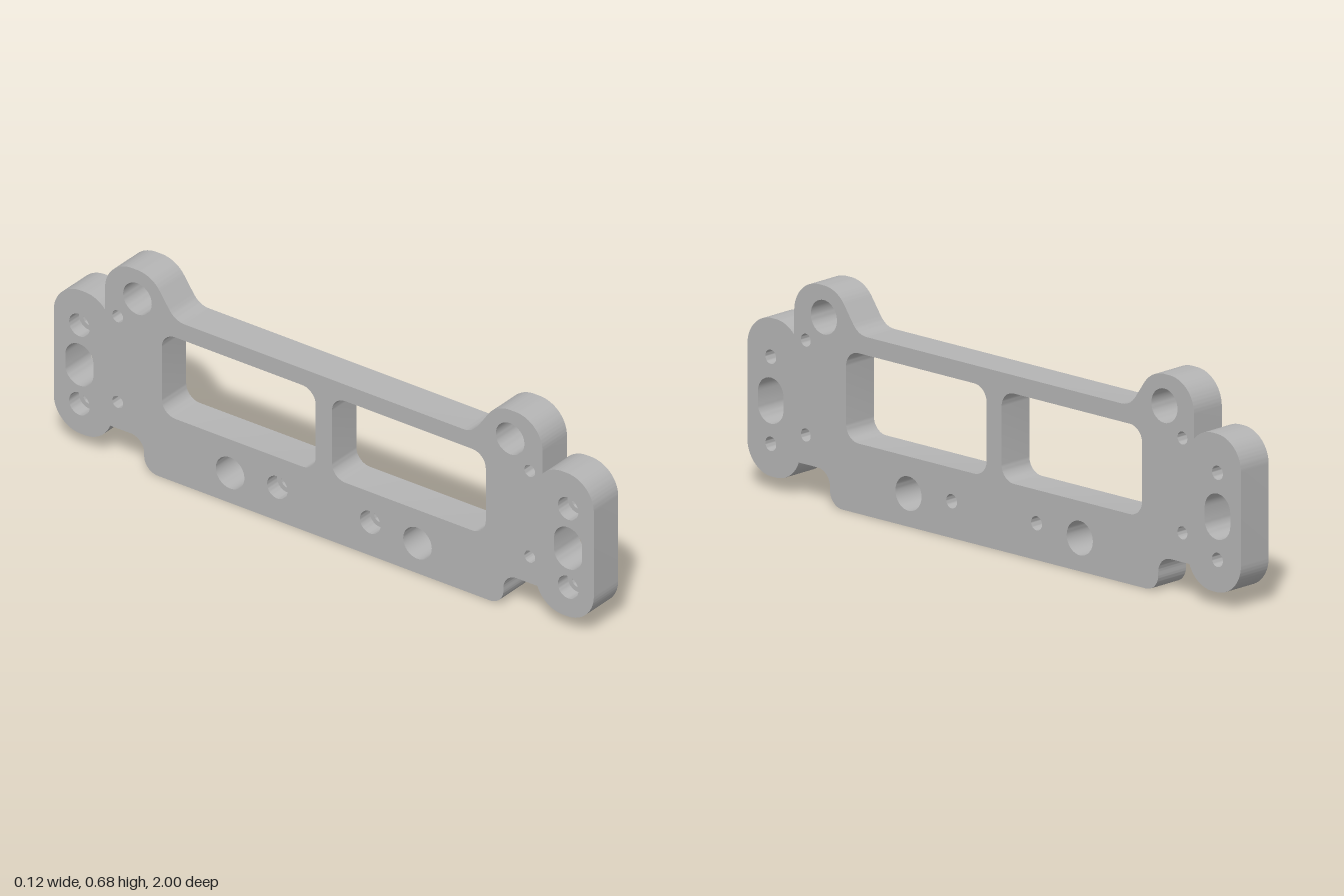
import * as THREE from 'three';
import { mergeGeometries, toCreasedNormals } from 'three/addons/utils/BufferGeometryUtils.js';

const PI = Math.PI;
const HALF = 0.06; // half the plate thickness
const LEDGE = 0.012; // depth position of the counterbore floors
const BORE = 0.038; // counterbore radius

// The profile is drawn with the plate's length along x, then turned to lie along z.
function outlinePoints() {
  const p = new THREE.Path();
  p.moveTo(0.615, 0);
  p.absarc(0.615, 0.05, 0.05, -PI / 2, 0); // bottom corner
  p.absarc(0.715, 0.06, 0.05, PI, PI / 2, true); // inner fillet of the step
  p.absarc(0.885, 0.145, 0.1, PI + 0.358, 1.5 * PI); // end lobe
  p.absarc(0.9, 0.145, 0.1, 1.5 * PI, 2 * PI);
  p.absarc(0.9, 0.433, 0.1, 0, PI / 2);
  p.absarc(0.885, 0.433, 0.1, PI / 2, 2.419);
  p.absarc(0.71, 0.575, 0.1, 0, PI / 2); // upper ear
  p.absarc(0.69, 0.575, 0.1, PI / 2, PI - 0.61);
  p.lineTo(0.573, 0.582);
  p.quadraticCurveTo(0.551, 0.55, 0.515, 0.55);
  const half = p.getPoints(14);
  const mirrored = half.map((v) => new THREE.Vector2(-v.x, v.y)).reverse();
  return half.concat(mirrored);
}

// Rounded opening, clockwise; a circle when w = h = r
function opening(cx, cy, w, h, r) {
  const pts = [];
  for (let q = 0; q < 4; q++) {
    const sx = q === 0 || q === 3 ? 1 : -1;
    const sy = q < 2 ? 1 : -1;
    for (let i = 0; i <= 10; i++) {
      const a = (q + i / 10) * PI / 2;
      const v = new THREE.Vector2(
        cx + sx * (w - r) + r * Math.cos(a),
        cy + sy * (h - r) + r * Math.sin(a));
      if (!pts.length || pts[pts.length - 1].distanceTo(v) > 1e-5) pts.push(v);
    }
  }
  if (pts[0].distanceTo(pts[pts.length - 1]) < 1e-5) pts.pop();
  return pts.reverse();
}
const circle = (cx, cy, r) => opening(cx, cy, r, r, r);

// Wall swept along a closed loop between two depths
function wall(pts, d0, d1) {
  const pos = [];
  pts.forEach((a, i) => {
    const b = pts[(i + 1) % pts.length];
    pos.push(a.x, a.y, d0, b.x, b.y, d0, b.x, b.y, d1);
    pos.push(a.x, a.y, d0, b.x, b.y, d1, a.x, a.y, d1);
  });
  const g = new THREE.BufferGeometry();
  g.setAttribute('position', new THREE.Float32BufferAttribute(pos, 3));
  return toCreasedNormals(g, 0.6);
}

// Flat cap with holes, facing +depth or -depth
function cap(outer, holes, depth, flip) {
  const shape = new THREE.Shape(outer);
  shape.holes = holes.map((h) => new THREE.Path(h));
  const g = new THREE.ShapeGeometry(shape).toNonIndexed();
  g.deleteAttribute('uv');
  if (flip) {
    const p = g.attributes.position;
    for (let i = 0; i < p.count; i += 3) {
      const x = p.getX(i), y = p.getY(i);
      p.setXY(i, p.getX(i + 1), p.getY(i + 1));
      p.setXY(i + 1, x, y);
    }
    g.computeVertexNormals();
  }
  return g.translate(0, 0, depth);
}

export function createModel() {
  const model = new THREE.Group();
  model.name = 'mountingPlate';
  const grey = new THREE.MeshStandardMaterial({ color: 0xb4b4b4 });
  grey.name = 'plain grey';

  const outline = outlinePoints();
  const through = []; // openings of constant size
  const bored = []; // [x, y, r] of the counterbored screw holes
  for (const s of [1, -1]) {
    through.push(
      opening(s * 0.315, 0.355, 0.285, 0.139, 0.05), // window
      opening(s * 0.905, 0.278, 0.052, 0.071, 0.052), // end slot
      circle(s * 0.69, 0.577, 0.053), // ear hole
      circle(s * 0.347, 0.102, 0.053), // lower hole
      circle(s * 0.763, 0.492, 0.02), // pin holes
      circle(s * 0.763, 0.2, 0.02));
    bored.push([s * 0.905, 0.413, 0.022], [s * 0.905, 0.145, 0.022], [s * 0.172, 0.113, 0.022]);
  }
  const narrow = bored.map(([x, y, r]) => circle(x, y, r));
  const wide = bored.map(([x, y]) => circle(x, y, BORE));

  const add = (name, parts) => {
    const geometry = mergeGeometries(parts).rotateY(-PI / 2); // length onto z
    const mesh = new THREE.Mesh(geometry, grey);
    mesh.name = name;
    model.add(mesh);
  };
  add('plateFaces', [
    cap(outline, [...through, ...wide], HALF, false),
    cap(outline, [...through, ...narrow], -HALF, true),
  ]);
  add('plateRim', [wall(outline, -HALF, HALF)]);
  add('openingWalls', through.map((h) => wall(h, -HALF, HALF)));
  add('counterboredHoles', bored.flatMap((_, i) => [
    wall(narrow[i], -HALF, LEDGE),
    wall(wide[i], LEDGE, HALF),
    cap(wide[i], [narrow[i]], LEDGE, false),
  ]));
  return model;
}
